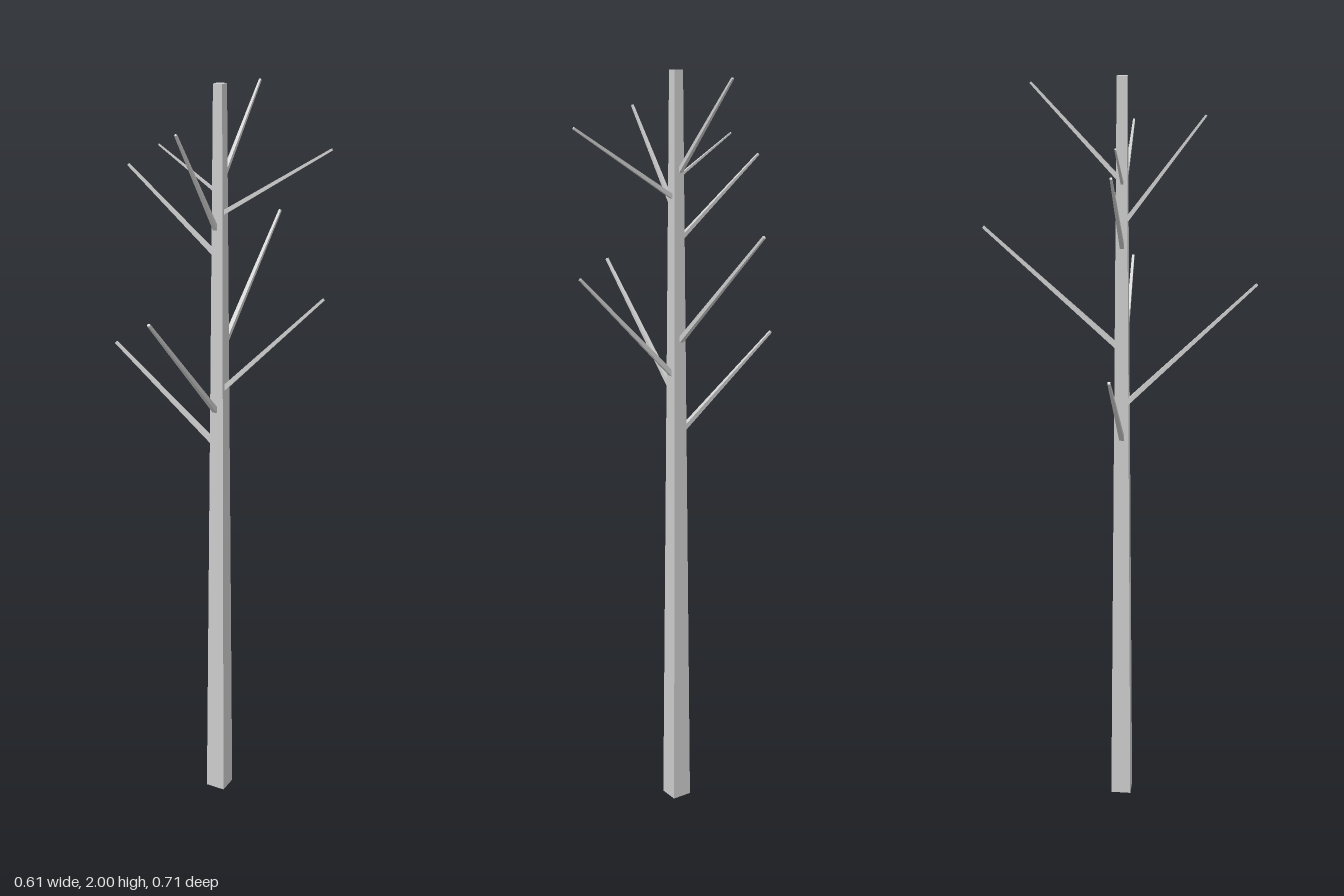
import * as THREE from 'three';

const material = new THREE.MeshStandardMaterial({ color: 0xcccccc, flatShading: true });

// Tapered square bar running up +y from the origin
function taperedBar(bottomWidth, topWidth, length) {
  const geometry = new THREE.CylinderGeometry(topWidth * Math.SQRT1_2, bottomWidth * Math.SQRT1_2, length, 4);
  return geometry.rotateY(Math.PI / 4).translate(0, length / 2, 0);
}

export function createModel() {
  const tree = new THREE.Group();
  tree.name = 'bareTree';

  // Trunk, slightly off centre
  const trunk = new THREE.Mesh(taperedBar(0.055, 0.025, 2), material);
  trunk.name = 'trunk';
  trunk.position.set(0.007, 0, 0.007);
  tree.add(trunk);

  // Branches: axis, start along it, start height, tip along it, tip height, base width
  const branches = [
    ['x', 0.0, 1.065, -0.307, 1.307, 0.013],
    ['x', 0.015, 1.225, 0.294, 1.505, 0.013],
    ['x', 0.0, 1.577, -0.255, 1.785, 0.011],
    ['x', 0.015, 1.688, 0.304, 1.868, 0.011],
    ['x', 0.0, 1.738, -0.165, 1.842, 0.007],
    ['z', 0.02, 1.168, 0.352, 1.491, 0.013],
    ['z', 0.0, 1.315, -0.35, 1.625, 0.013],
    ['z', 0.02, 1.65, 0.215, 1.908, 0.011],
    ['z', 0.0, 1.75, -0.22, 1.983, 0.011],
  ];
  branches.forEach(([axis, from, fromY, to, toY, width], i) => {
    const out = to - from, rise = toY - fromY;
    const branch = new THREE.Mesh(taperedBar(width, width * 0.5, Math.hypot(out, rise)), material);
    branch.name = `branch${i + 1}`;
    const lean = Math.atan2(out, rise);
    if (axis === 'x') {
      branch.position.set(from, fromY, 0.008);
      branch.rotation.z = -lean;
    } else {
      branch.position.set(0.002, fromY, from);
      branch.rotation.x = lean;
    }
    tree.add(branch);
  });
  return tree;
}
